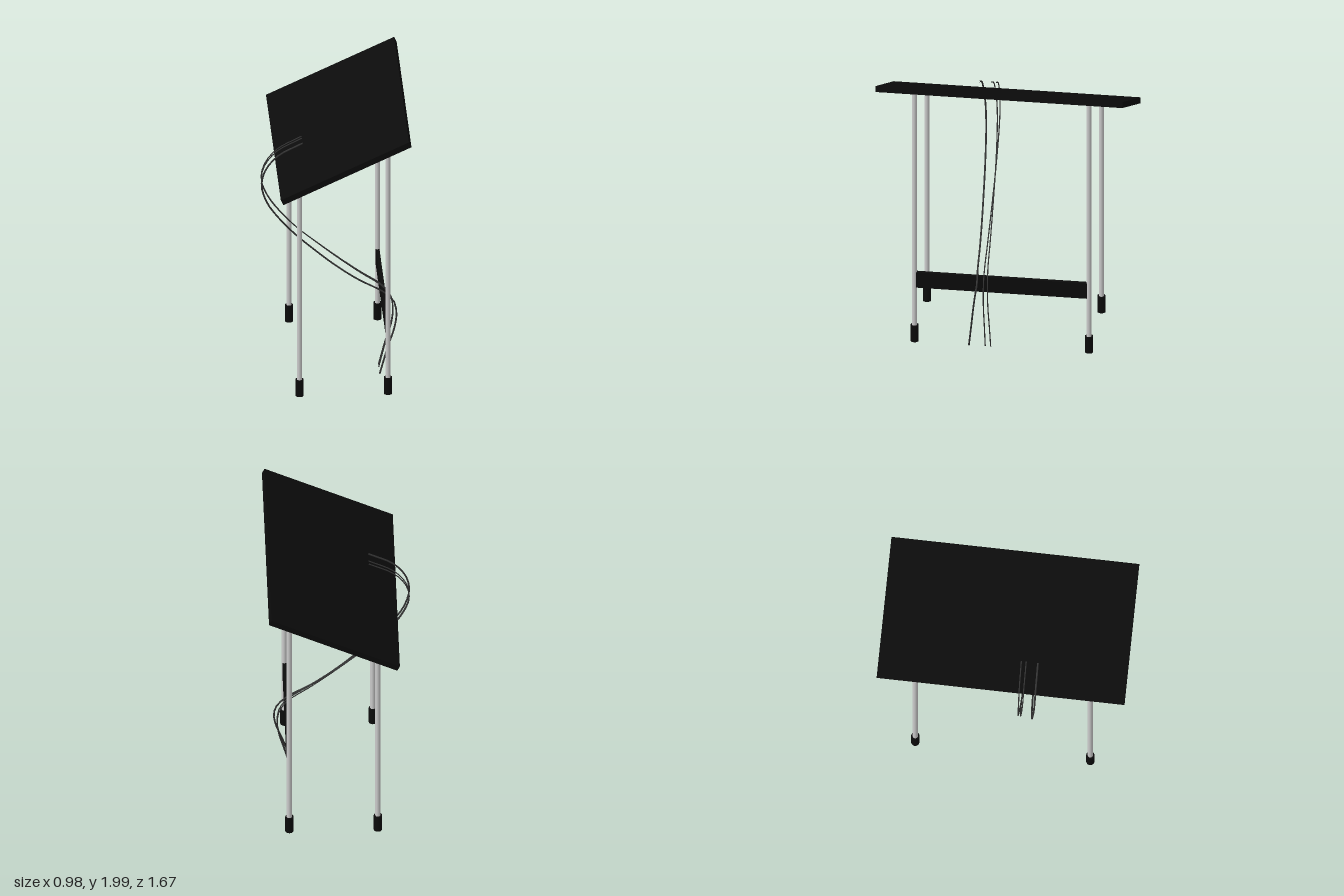
import * as THREE from 'three';

const black = new THREE.MeshStandardMaterial({ color: 0x0b0b0b });
const grey = new THREE.MeshStandardMaterial({ color: 0xcccccc });
const cableMat = new THREE.MeshStandardMaterial({ color: 0x333333 });

export function createModel() {
  const model = new THREE.Group();
  const add = (name, geometry, material, x = 0, y = 0, z = 0) => {
    const mesh = new THREE.Mesh(geometry, material);
    mesh.name = name;
    mesh.position.set(x, y, z);
    model.add(mesh);
    return mesh;
  };

  // Sloped board, low on the -x side
  const board = add('board', new THREE.BoxGeometry(0.95, 0.04, 1.67), black, 0.048, 1.775, 0);
  board.rotation.z = THREE.MathUtils.degToRad(25.2);

  // Four tube legs with black end caps; the +x pair is taller
  for (const [x, top] of [[-0.25, 1.63], [0.343, 1.9]]) {
    for (const z of [-0.59, 0.59]) {
      const h = top - 0.04;
      add('leg', new THREE.CylinderGeometry(0.018, 0.018, h, 20), grey, x, 0.04 + h / 2, z);
      add('foot', new THREE.CylinderGeometry(0.028, 0.028, 0.12, 20), black, x, 0.09, z);
    }
  }

  // Rail between the tall legs
  add('crossbar', new THREE.BoxGeometry(0.025, 0.115, 1.17), black, 0.343, 0.493, 0);

  // Hanging cables: shared route in x and y
  const thickRoute = [
    [-0.208, 1.726], [-0.377, 1.635], [-0.46, 1.53], [-0.483, 1.42], [-0.45, 1.295],
    [-0.377, 1.18], [-0.256, 1.04], [-0.14, 0.93], [0.008, 0.8], [0.166, 0.683],
    [0.335, 0.583], [0.404, 0.515], [0.425, 0.435], [0.414, 0.34], [0.36, 0.177], [0.309, 0.006],
  ];
  const thinRoute = [
    [-0.208, 1.726], [-0.377, 1.635], [-0.46, 1.53], [-0.48, 1.42], [-0.44, 1.305],
    [-0.362, 1.19], [-0.24, 1.055], [-0.125, 0.955], [0.02, 0.835], [0.175, 0.715],
    [0.335, 0.6], [0.39, 0.52], [0.405, 0.435], [0.397, 0.34], [0.352, 0.177], [0.309, 0.006],
  ];
  // Sideways drift of each cable: z at the top, at the rail and at the floor
  const cables = [
    ['thickCable', thickRoute, 0.006, [0.232, 0.238, 0.16, 0.228]],
    ['thinCable', thinRoute, 0.004, [0.153, 0.158, 0.09, 0.08]],
    ['thinCable', thinRoute, 0.004, [0.12, 0.13, 0.117, 0.117]],
  ];
  for (const [name, route, radius, [start, bend, rail, floor]] of cables) {
    const points = route.map(([x, y]) => {
      const z = y > 1.56 ? THREE.MathUtils.mapLinear(y, 1.726, 1.56, start, bend)
        : y > 0.515 ? THREE.MathUtils.mapLinear(y, 1.56, 0.515, bend, rail)
          : THREE.MathUtils.mapLinear(y, 0.515, 0, rail, floor);
      return new THREE.Vector3(x, y, z);
    });
    add(name, new THREE.TubeGeometry(new THREE.CatmullRomCurve3(points), 48, radius, 8), cableMat);
  }

  return model;
}
